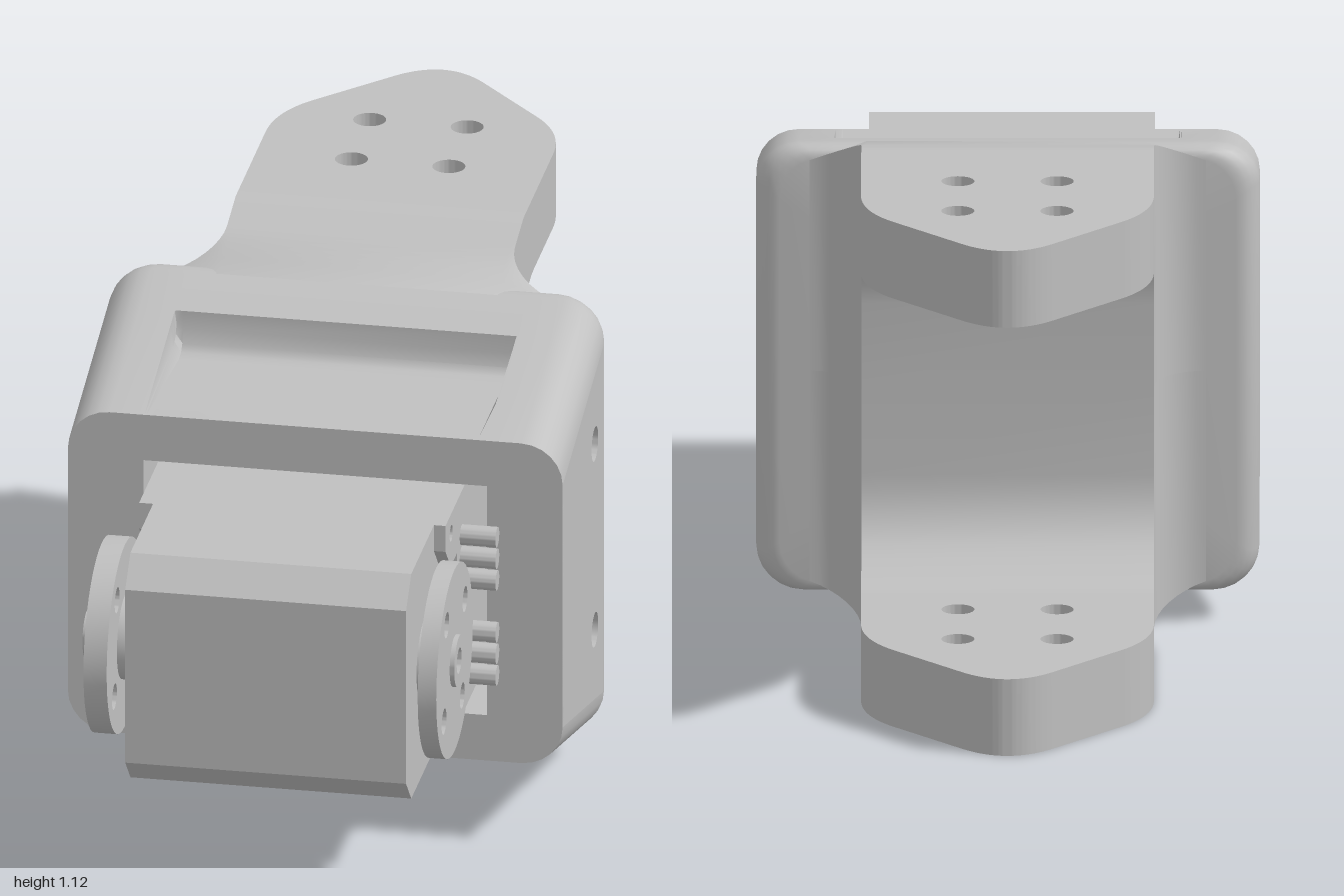
import * as THREE from 'three';
import { mergeGeometries, toCreasedNormals } from 'three/addons/utils/BufferGeometryUtils.js';

const CY = 0.56;   // mid height; everything is built around it
const W = 0.533;   // half width of the body
const grey = new THREE.MeshStandardMaterial({ color: 0xc0c0c0 });
grey.name = 'lightGrey';

// half height of the tapered body at depth z
const half = z => 0.37 + (0.47 - z) * 0.257;

function add(parent, name, geo, crease = 0.6) {
  const mesh = new THREE.Mesh(toCreasedNormals(geo, crease), grey);
  mesh.name = name;
  parent.add(mesh);
}

// skin closed rings front to back and cap the last one
// (counterclockwise rings face outward, clockwise rings face inward)
function loft(rings, skip = () => false) {
  const pos = [], idx = [], n = rings[0].length;
  rings.forEach(r => r.forEach(p => pos.push(...p)));
  for (let k = 0; k < rings.length - 1; k++) {
    for (let i = 0; i < n; i++) {
      if (skip(k, i)) continue;
      const a = k * n + i, b = k * n + (i + 1) % n;
      idx.push(a, a + n, b, b, a + n, b + n);
    }
  }
  const end = rings[rings.length - 1], last = (rings.length - 1) * n, c = pos.length / 3;
  pos.push(...[0, 1, 2].map(j => end.reduce((sum, p) => sum + p[j], 0) / n));
  for (let i = 0; i < n; i++) idx.push(c, last + (i + 1) % n, last + i);
  const g = new THREE.BufferGeometry();
  g.setAttribute('position', new THREE.Float32BufferAttribute(pos, 3));
  g.setIndex(idx);
  return g;
}

const poly = pts => new THREE.Shape(pts.map(p => new THREE.Vector2(...p)));
const circle = (x, y, r) => new THREE.Path().absarc(x, y, r, 0, Math.PI * 2, true);
const rect = (w, h) => [[-w, -h], [w, -h], [w, h], [-w, h]];

function extrude(shape, depth, holes = []) {
  shape.holes.push(...holes);
  return new THREE.ExtrudeGeometry(shape, { depth, bevelEnabled: false, curveSegments: 24 });
}

// (z, y) outline extruded toward -x, with its +x face at x1
const slab = (shape, x1, depth, holes) =>
  extrude(shape, depth, holes).rotateY(-Math.PI / 2).translate(x1, 0, 0);

// cylinder along x between x0 and x1
const rod = (x0, x1, r, y, z, r2 = r) =>
  new THREE.CylinderGeometry(r2, r, x1 - x0, 32).rotateZ(-Math.PI / 2).translate((x0 + x1) / 2, y, z);

// upper half of the body section, with the recessed pocket in its top
function halfSection(w, h, floor) {
  const r = 0.09, corner = [];
  for (let i = 0; i <= 6; i++) {
    const a = i / 6 * Math.PI / 2;
    corner.push([w - r + r * Math.cos(a), h - r + r * Math.sin(a)]);
  }
  const right = [...corner, [0.368, h], [0.364, floor + (h - floor) * 0.3], [0.35, floor]];
  return [...right, ...right.map(([x, y]) => [-x, y]).reverse()];
}

function section(w, h, floor) {
  const top = halfSection(w, h, floor);
  return [...top, ...top.map(([x, y]) => [-x, -y])];
}

// flat panel with a stepped screw hole, facing +z; corners run clockwise
function holePanel(corners, [cx, cy]) {
  const N = 16;
  const edge = corners.flatMap(([x, y], k) => {
    const [x2, y2] = corners[(k + 1) % corners.length];
    return Array.from({ length: N }, (_, i) => [x + (x2 - x) * i / N, y + (y2 - y) * i / N]);
  });
  const ring = (r, z) => edge.map(([x, y]) => {
    const d = r / Math.hypot(x - cx, y - cy);
    return [cx + (x - cx) * d, cy + (y - cy) * d, z];
  });
  return loft([edge.map(([x, y]) => [x, y, 0]),
    ring(0.038, 0), ring(0.038, -0.04), ring(0.018, -0.04), ring(0.018, -0.08)]);
}

function sideWall() {
  const top = half(0) - 0.09;
  return mergeGeometries([
    holePanel([[-0.47, 0], [-0.47, 0.28], [0, top], [0, 0]], [-0.1, 0.215]),
    holePanel([[-0.47, -0.28], [-0.47, 0], [0, 0], [0, -top]], [-0.1, -0.215]),
  ]).rotateY(Math.PI / 2).translate(W, 0, 0);
}

function buildBody(group) {
  const at = (z, pts) => pts.map(([x, y]) => [x, y, z]);
  const rings = [[0.47, 0.37], [0.17, 0.37], [0.145, 0.375], [0.13, 0.39], [0.122, 0.42], [0.12, half(0.12)], [0, half(0)]]
    .map(([z, floor]) => at(z, section(W, half(z), floor)));
  const flat = rings.length - 1;
  // rounded back edge
  for (let i = 1; i <= 6; i++) {
    const a = i / 6 * Math.PI / 2, z = -0.06 * Math.sin(a), s = 0.05 * (1 - Math.cos(a));
    const h = half(z) - s * 0.7;
    rings.push(at(z, section(W - s, h, h)));
  }
  const n = rings[0].length;
  add(group, 'bodyShell', loft(rings, (k, i) => k < flat && (i === n - 1 || i === n / 2 - 1)));
  add(group, 'leftWall', sideWall());
  add(group, 'rightWall', sideWall().rotateZ(Math.PI));

  // front rim and the cavity behind it
  const hole = () => poly(rect(0.37, 0.265));
  add(group, 'frontRim', extrude(poly(section(W, 0.37, 0.37)), 0.015, [hole()]).translate(0, 0, 0.455));
  add(group, 'cavityWall', extrude(poly(rect(0.4, 0.3)), 0.45, [hole()]).translate(0, 0, 0.01));
  add(group, 'cavityBack', new THREE.BoxGeometry(0.8, 0.6, 0.02));
}

function buildArm() {
  const arm = new THREE.Group();
  arm.name = 'forkArm';
  // flared neck, curving into the fork slot; [z, lower edge]
  const stations = [[-0.01, 0]];
  for (let i = 0; i <= 8; i++) stations.push([-0.17 + 0.11 * Math.cos(i / 8 * Math.PI / 2), 0]);
  stations.push([-0.19, 0]);
  for (const a of [0, 0.2, 0.4, 0.6, 0.76, 0.9273, 1.1, 1.25, 1.41, Math.PI / 2])
    stations.push([-0.39 + 0.2 * Math.cos(a), 0.19 + 0.2 * Math.sin(a)]);
  const width = z => z > -0.06 ? 0.42
    : z < -0.17 ? 0.31 : 0.42 - Math.sqrt(Math.max(0, 0.0121 - (z + 0.17) ** 2));
  add(arm, 'forkNeck', loft(stations.map(([z, low]) => {
    const w = width(z), top = Math.min(0.56, half(z)), edge = top - (w - 0.31) * 0.36;
    return [[w, low, z], [w, edge, z], [0.3, top, z], [-0.3, top, z], [-w, edge, z], [-w, low, z]];
  })));

  // pointed end plate with four mounting holes
  const s = new THREE.Shape();
  s.moveTo(-0.31, 0.39);
  s.lineTo(0.31, 0.39);
  s.lineTo(0.31, 0.61);
  s.quadraticCurveTo(0.31, 0.72, 0.24, 0.795);
  s.lineTo(0.1, 0.945);
  s.quadraticCurveTo(0.05, 1, 0, 1);
  s.quadraticCurveTo(-0.05, 1, -0.1, 0.945);
  s.lineTo(-0.24, 0.795);
  s.quadraticCurveTo(-0.31, 0.72, -0.31, 0.61);
  const holes = [];
  for (const x of [-0.105, 0.105]) for (const y of [0.505, 0.715]) holes.push(circle(x, y, 0.035));
  add(arm, 'forkPlate', extrude(s, 0.17, holes).rotateX(-Math.PI / 2).translate(0, 0.39, 0));
  return arm;
}

function buildServo() {
  const servo = new THREE.Group();
  servo.name = 'servo';
  // chamfered case
  const caseShape = poly([[0.03, -0.26], [0.94, -0.26], [1, -0.2], [1, 0.2], [0.94, 0.26], [0.03, 0.26]]);
  add(servo, 'servoCase', slab(caseShape, 0.295, 0.605), 0.3);

  // notched side covers
  for (const x1 of [0.32, -0.31]) {
    const upper = [[0.68, 0.26], [0.03, 0.26]];
    const notch = [[0.55, 0.14], [0.62, 0.14], [0.68, 0.2]];
    const cover = poly([...upper, ...upper.map(([z, y]) => [z, -y]).reverse(),
      ...notch.map(([z, y]) => [z, -y]).reverse(), ...notch]);
    add(servo, 'sideCover', slab(cover, x1, 0.03, [-0.215, 0.215].map(y => circle(0.615, y, 0.018))), 0.3);
  }

  // connector pins
  for (const y of [0.06, 0.11, 0.16]) for (const s of [1, -1])
    add(servo, 'connectorPin', rod(0.29, 0.397, 0.022, s * y, 0.495));

  // round horns with four holes around the hub
  for (const [x1, depth] of [[0.36, 0.04], [-0.35, 0.05]]) {
    const disc = new THREE.Shape().absarc(0.79, 0, 0.21, 0, Math.PI * 2);
    const holes = [0, 1, 2, 3].map(i => {
      const a = 0.93 + i * Math.PI / 2;
      return circle(0.79 + 0.15 * Math.cos(a), 0.15 * Math.sin(a), 0.028);
    });
    add(servo, 'horn', slab(disc, x1, depth, holes));
  }
  add(servo, 'leftHub', rod(0.29, 0.325, 0.09, 0, 0.79));
  add(servo, 'rightHub', rod(-0.355, -0.305, 0.093, 0, 0.79));
  const boss = new THREE.Shape().absarc(0.79, 0, 0.056, 0, Math.PI * 2);
  add(servo, 'leftBoss', slab(boss, 0.37, 0.012, [circle(0.79, 0, 0.028)]));
  add(servo, 'rightScrew', rod(-0.432, -0.395, 0.051, 0, 0.79, 0.056));
  return servo;
}

export function createModel() {
  const model = new THREE.Group();
  model.name = 'servoBracket';
  const body = new THREE.Group();
  body.name = 'bracketBody';
  buildBody(body);
  const upper = buildArm(), lower = buildArm();
  lower.rotation.z = Math.PI;
  for (const part of [body, upper, lower, buildServo()]) {
    part.position.y = CY;
    model.add(part);
  }
  return model;
}
